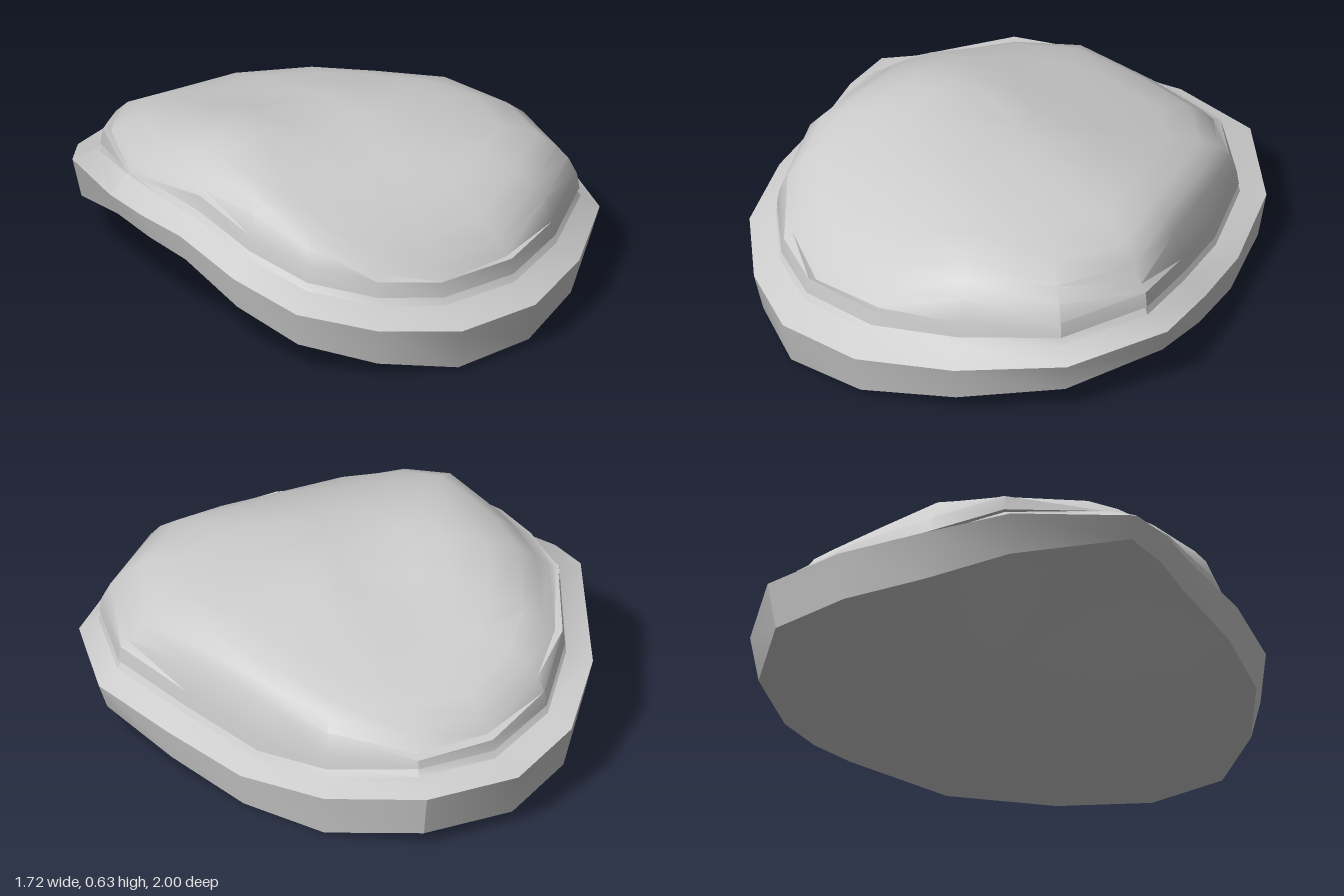
import * as THREE from 'three';
import { toCreasedNormals, mergeVertices } from 'three/addons/utils/BufferGeometryUtils.js';

// Stations round the plan: rim x, rim z, rim top y, rim bottom y, crown foot x, crown foot z
const STATIONS = [
  [0.11, -1.00, 0.21, 0.05, 0.09, -0.89],
  [0.41, -0.79, 0.17, 0.01, 0.36, -0.71],
  [0.59, -0.48, 0.13, 0.00, 0.51, -0.45],
  [0.74, -0.18, 0.18, 0.06, 0.66, -0.15],
  [0.86, 0.12, 0.22, 0.13, 0.78, 0.14],
  [0.76, 0.51, 0.20, 0.09, 0.70, 0.48],
  [0.48, 0.79, 0.18, 0.05, 0.43, 0.72],
  [0.17, 0.97, 0.165, 0.02, 0.15, 0.87],
  [-0.16, 1.00, 0.165, 0.01, -0.16, 0.89],
  [-0.43, 0.88, 0.19, 0.05, -0.38, 0.80],
  [-0.65, 0.69, 0.24, 0.11, -0.57, 0.64],
  [-0.75, 0.45, 0.31, 0.19, -0.67, 0.43],
  [-0.79, 0.18, 0.38, 0.28, -0.71, 0.17],
  [-0.84, 0.02, 0.41, 0.32, -0.75, 0.00],
  [-0.86, -0.15, 0.43, 0.35, -0.76, -0.19],
  [-0.70, -0.61, 0.34, 0.20, -0.62, -0.56],
  [-0.51, -0.85, 0.25, 0.09, -0.46, -0.76],
  [-0.24, -1.00, 0.21, 0.05, -0.20, -0.89],
];

// Linear lookup in a short list of [position, height] pairs
function lookup(pairs, v) {
  if (v <= pairs[0][0]) return pairs[0][1];
  for (let i = 1; i < pairs.length; i++) {
    const [p, a] = pairs[i - 1], [q, b] = pairs[i];
    if (v <= q) return a + (b - a) * (v - p) / (q - p);
  }
  return pairs[pairs.length - 1][1];
}

// Crown height across x, and how far it drops toward back and front
const CREST = [[-0.77, 0.475], [-0.72, 0.52], [-0.63, 0.585], [-0.5, 0.625], [-0.38, 0.635],
  [-0.15, 0.605], [0.1, 0.6], [0.35, 0.565], [0.57, 0.52], [0.71, 0.44], [0.78, 0.35]];
const DROP = [[-0.88, 0.31], [-0.8, 0.23], [-0.7, 0.17], [-0.4, 0.09], [-0.1, 0.01], [0.1, 0],
  [0.37, 0.06], [0.6, 0.145], [0.7, 0.205], [0.85, 0.33]];

// The back falls away evenly; the front is fuller, held under its own outline
function crownTop(x, z) {
  const drop = lookup(DROP, z);
  return Math.min(lookup(CREST, x) - drop * (z > 0 ? 0.35 : 1), 0.635 - drop);
}

// Skin a stack of closed loops; a one-point loop closes an end
function loft(loops, name) {
  const n = STATIONS.length, pos = [], idx = [];
  for (const loop of loops) {
    for (let j = 0; j < n; j++) pos.push(...loop[j % loop.length]);
  }
  for (let i = 0; i < loops.length - 1; i++) {
    for (let j = 0; j < n; j++) {
      const a = i * n + j, b = a + n, c = i * n + (j + 1) % n, d = c + n;
      if (loops[i + 1].length > 1) idx.push(a, b, d);
      if (loops[i].length > 1) idx.push(a, d, c);
    }
  }
  const g = new THREE.BufferGeometry();
  g.setAttribute('position', new THREE.Float32BufferAttribute(pos, 3));
  g.setIndex(idx);
  const mat = new THREE.MeshStandardMaterial({ color: 0xcccccc, side: THREE.DoubleSide });
  const mesh = new THREE.Mesh(toCreasedNormals(mergeVertices(g), 0.55), mat);
  mesh.name = name;
  return mesh;
}

export function createModel() {
  const group = new THREE.Group();
  group.name = 'warpedShell';
  const foot = (s) => s[2] + 0.04 + 0.015 * s[1];

  // Warped base plate: dished underside with a flat border, upright edge, ledge up to the crown
  const centreY = 0.17;
  const under = (t) => STATIONS.map(([x, z, , yb]) =>
    [x * t * 0.965, centreY + (yb - centreY) * Math.min(1, t / 0.78), z * t * 0.965]);
  group.add(loft([
    [[0, centreY, 0]], under(0.3), under(0.55), under(0.78), under(1),
    STATIONS.map((s) => [s[0], s[2], s[1]]),
    STATIONS.map((s) => [s[4], foot(s), s[5]]),
  ], 'basePlate'));

  // Crown: a fine groove, a short upright wall, then the rounded top
  const wall = (t, rise) => STATIONS.map((s) => {
    const x = s[4] * t, z = s[5] * t;
    return [x, Math.min(foot(s) + rise, Math.max(foot(s), crownTop(x, z))), z];
  });
  const dome = (t, blend) => STATIONS.map((s) => {
    const x = s[4] * t, z = s[5] * t, y0 = foot(s);
    return [x, y0 + Math.max(0, crownTop(x, z) - y0) * blend, z];
  });
  group.add(loft([
    wall(1, 0), wall(0.98, 0.025), wall(0.995, 0.03), wall(0.985, 0.085),
    dome(0.95, 0.78), dome(0.9, 0.93),
    ...[0.82, 0.67, 0.5, 0.35, 0.18].map((t) => dome(t, 1)),
    [[0, crownTop(0, 0), 0]],
  ], 'crown'));
  return group;
}
